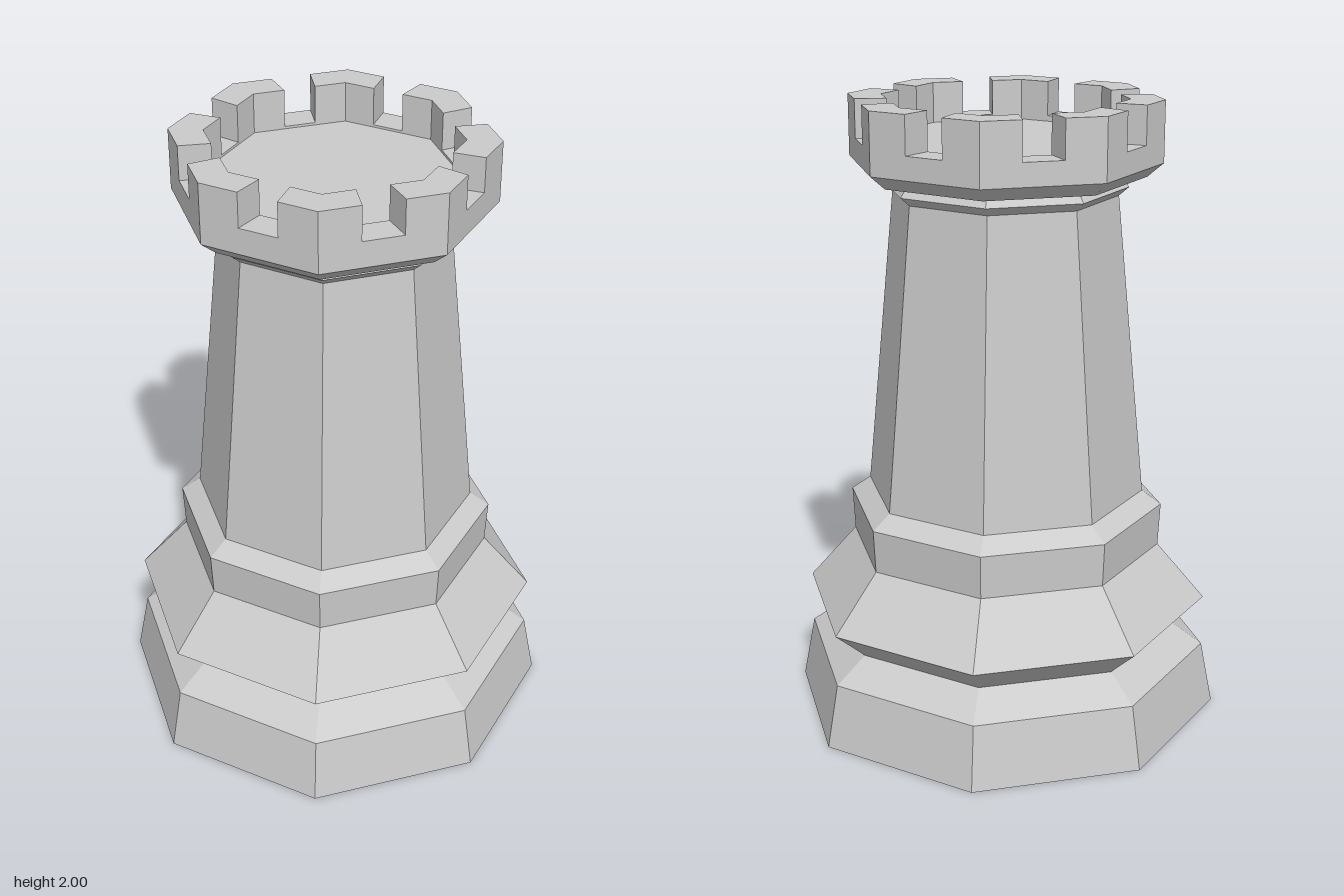
import * as THREE from 'three';

const SIDES = 8, OUTER = 0.49, INNER = 0.385, RIM = 1.88, TOP = 2;

// Point on an octagon outline; s counts sides, fractions run along the flat side
function onOctagon(radius, s) {
  const i = Math.floor(s + 1e-6), t = s - i;
  const corner = (k) => {
    const a = (k / SIDES) * Math.PI * 2;
    return new THREE.Vector2(Math.cos(a) * radius, Math.sin(a) * radius);
  };
  return corner(i).lerp(corner(i + 1), t);
}

// Block of the octagonal rim passing through the given stops along the outline
function rimBlock(stops, y0, y1) {
  const outer = stops.map((s) => onOctagon(OUTER, s));
  const inner = stops.map((s) => onOctagon(INNER, s)).reverse();
  const geo = new THREE.ExtrudeGeometry(new THREE.Shape([...outer, ...inner]), {
    depth: y1 - y0, bevelEnabled: false,
  });
  return geo.rotateX(-Math.PI / 2).translate(0, y0, 0);
}

export function createModel() {
  const model = new THREE.Group();
  model.name = 'rook';
  const material = new THREE.MeshStandardMaterial({ color: 0xcccccc, flatShading: true });

  const add = (name, geometry) => {
    const mesh = new THREE.Mesh(geometry, material);
    mesh.name = name;
    model.add(mesh);
  };
  const lathe = (name, points) =>
    add(name, new THREE.LatheGeometry(points.map(([r, y]) => new THREE.Vector2(r, y)), SIDES));

  // Stepped foot with the overhanging collar
  lathe('base', [[0, 0], [0.70, 0], [0.66, 0.205], [0.555, 0.28], [0.66, 0.375],
    [0.505, 0.555], [0.512, 0.695], [0.45, 0.74]]);

  // Tapering tower and the thin ring under the crown
  lathe('tower', [[0.45, 0.74], [0.355, 1.705]]);
  lathe('neckRing', [[0.355, 1.705], [0.386, 1.732], [0.362, 1.765]]);

  // Crown: flat underside, chamfer, outer wall, rim and sunken floor
  lathe('crown', [[0.362, 1.765], [0.44, 1.765], [OUTER, 1.808], [OUTER, RIM],
    [INNER, RIM], [INNER, 1.872], [0, 1.872]]);

  // A battlement on every corner; the sills on the front half sit slightly higher
  for (let i = 0; i < SIDES; i++) {
    add('battlement', rimBlock([i + 2 / 3, i + 1, i + 4 / 3], RIM, TOP));
    if (i >= SIDES / 2) add('sill', rimBlock([i + 1 / 3, i + 2 / 3], RIM, RIM + 0.01));
  }
  return model;
}
